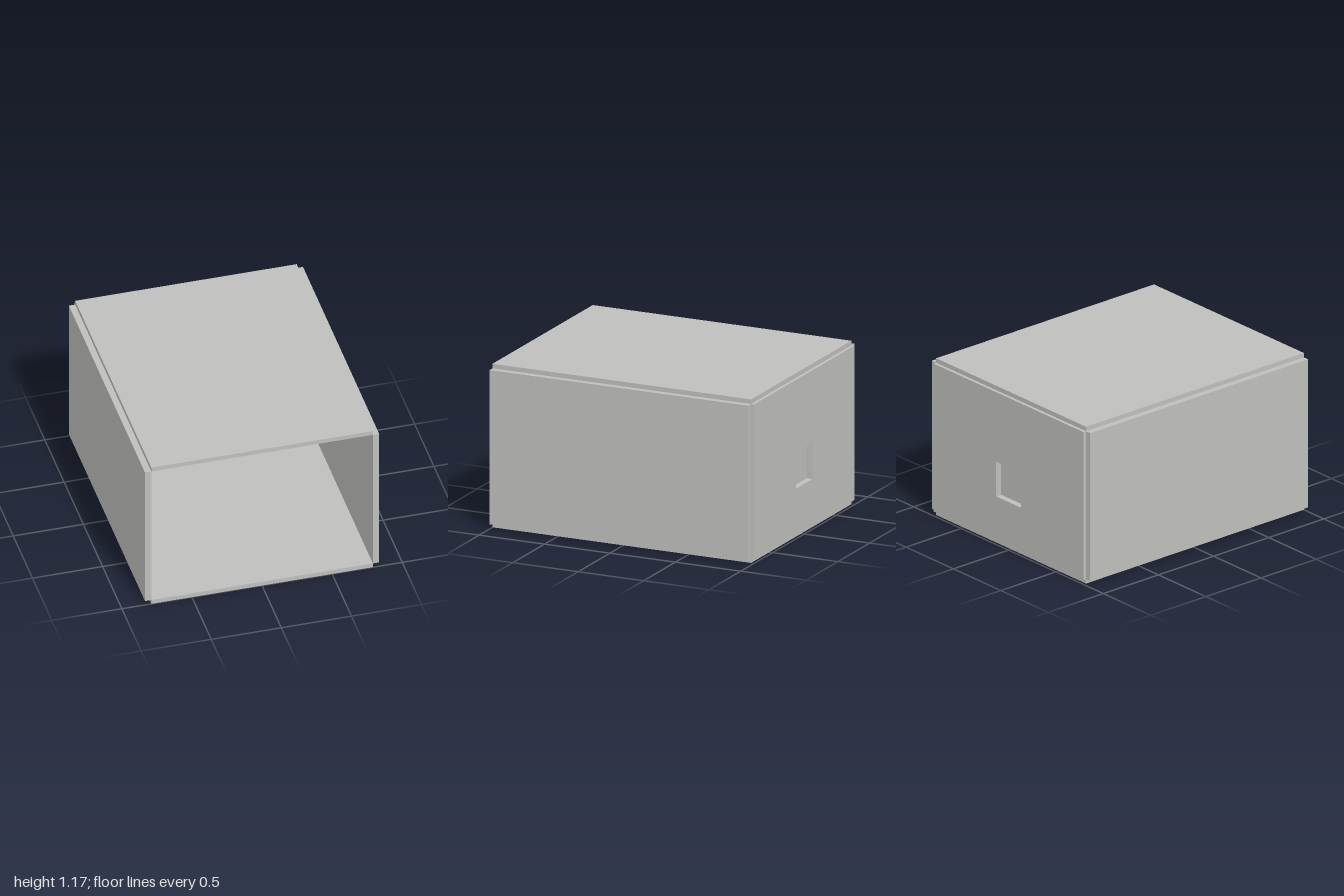
import * as THREE from 'three';

// Open-fronted case: five panels, with a recessed pair of small doors in the back wall.
export function createModel() {
  const model = new THREE.Group();
  model.name = 'openCase';
  const grey = new THREE.MeshStandardMaterial({ color: 0xbfbfbc });
  grey.name = 'panelGrey';

  // Box given by its minimum and maximum corners
  const box = (name, [x0, y0, z0], [x1, y1, z1]) => {
    const mesh = new THREE.Mesh(new THREE.BoxGeometry(x1 - x0, y1 - y0, z1 - z0), grey);
    mesh.position.set((x0 + x1) / 2, (y0 + y1) / 2, (z0 + z1) / 2);
    mesh.name = name;
    model.add(mesh);
  };

  const inner = 0.79, outer = 0.835;   // half widths
  const low = 0.033, high = 1.14, top = 1.173;
  const rear = -0.977, back = -1, thick = 0.045;

  // Floor, roof and the two side walls
  box('floor', [-inner, 0, rear], [inner, low, 1]);
  box('roof', [-inner, high, rear], [inner, top, 1]);
  box('leftWall', [inner, low, rear], [outer, high, 1]);
  box('rightWall', [-outer, low, rear], [-inner, high, 1]);

  // Back wall with a square opening
  const rect = (Type, x, y0, y1) => {
    const s = new Type();
    s.moveTo(-x, y0);
    s.lineTo(x, y0);
    s.lineTo(x, y1);
    s.lineTo(-x, y1);
    s.closePath();
    return s;
  };
  const wallShape = rect(THREE.Shape, inner, low, high);
  wallShape.holes.push(rect(THREE.Path, 0.13, 0.36, 0.62));
  const wall = new THREE.Mesh(
    new THREE.ExtrudeGeometry(wallShape, { depth: thick, bevelEnabled: false }), grey);
  wall.position.z = back;
  wall.name = 'backWall';
  model.add(wall);

  // Plate closing the opening from inside, with two door leaves
  const plate = back + thick;
  box('openingPlate', [-0.13, 0.36, plate], [0.13, 0.62, plate + 0.008]);
  for (const [name, x] of [['leftDoor', 0.0615], ['rightDoor', -0.0615]]) {
    box(name, [x - 0.0585, 0.372, plate + 0.008], [x + 0.0585, 0.608, plate + 0.016]);
  }
  return model;
}
